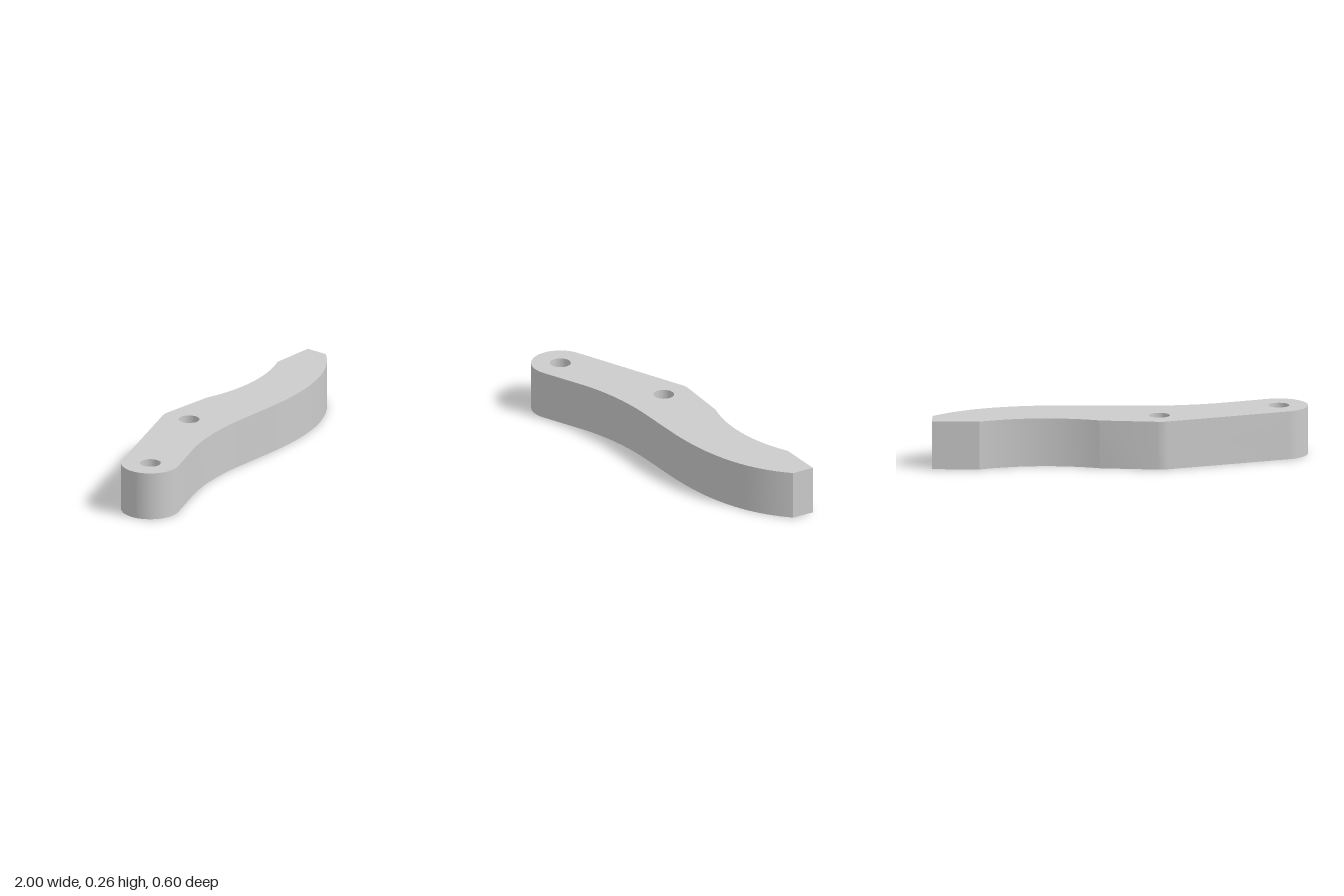
import * as THREE from 'three';
import { toCreasedNormals } from 'three/addons/utils/BufferGeometryUtils.js';

export function createModel() {
  const group = new THREE.Group();
  group.name = 'leverArm';
  const height = 0.263;
  const tilt = THREE.MathUtils.degToRad(22);
  const eye = { x: -0.845, y: -0.14, r: 0.157 };

  // Plan outline, drawn with shape y = -z
  const outline = new THREE.Shape();
  outline.moveTo(1, 0.3);
  outline.lineTo(0.745, 0.3);
  // concave upper edge
  outline.absarc(0.36, 1.08, 0.87, Math.atan2(-0.78, 0.385), Math.atan2(-0.83, -0.26), true);
  // rounded shoulder
  outline.lineTo(-0.205, 0.27);
  outline.quadraticCurveTo(-0.24, 0.273, -0.27, 0.258);
  // round eye end
  outline.absarc(eye.x, eye.y, eye.r, Math.PI / 2 + tilt, 1.5 * Math.PI + tilt, false);
  // lower edge: straight, bend, flat, then sweep up to the tip
  outline.lineTo(-0.56, -0.193);
  outline.quadraticCurveTo(-0.332, -0.1, -0.05, -0.1);
  outline.lineTo(0.2, -0.1);
  outline.bezierCurveTo(0.55, -0.1, 0.82, -0.02, 1, 0.175);
  outline.closePath();

  // Pivot holes
  for (const [x, y] of [[eye.x, eye.y], [-0.213, 0.117]]) {
    const hole = new THREE.Path();
    hole.absarc(x, y, 0.056, 0, Math.PI * 2, true);
    outline.holes.push(hole);
  }

  const plate = new THREE.ExtrudeGeometry(outline, { depth: height, bevelEnabled: false, curveSegments: 32 });
  plate.rotateX(-Math.PI / 2);
  const arm = new THREE.Mesh(
    toCreasedNormals(plate, 0.25),
    new THREE.MeshStandardMaterial({ color: 0xcccccc })
  );
  arm.name = 'arm';
  group.add(arm);
  return group;
}
